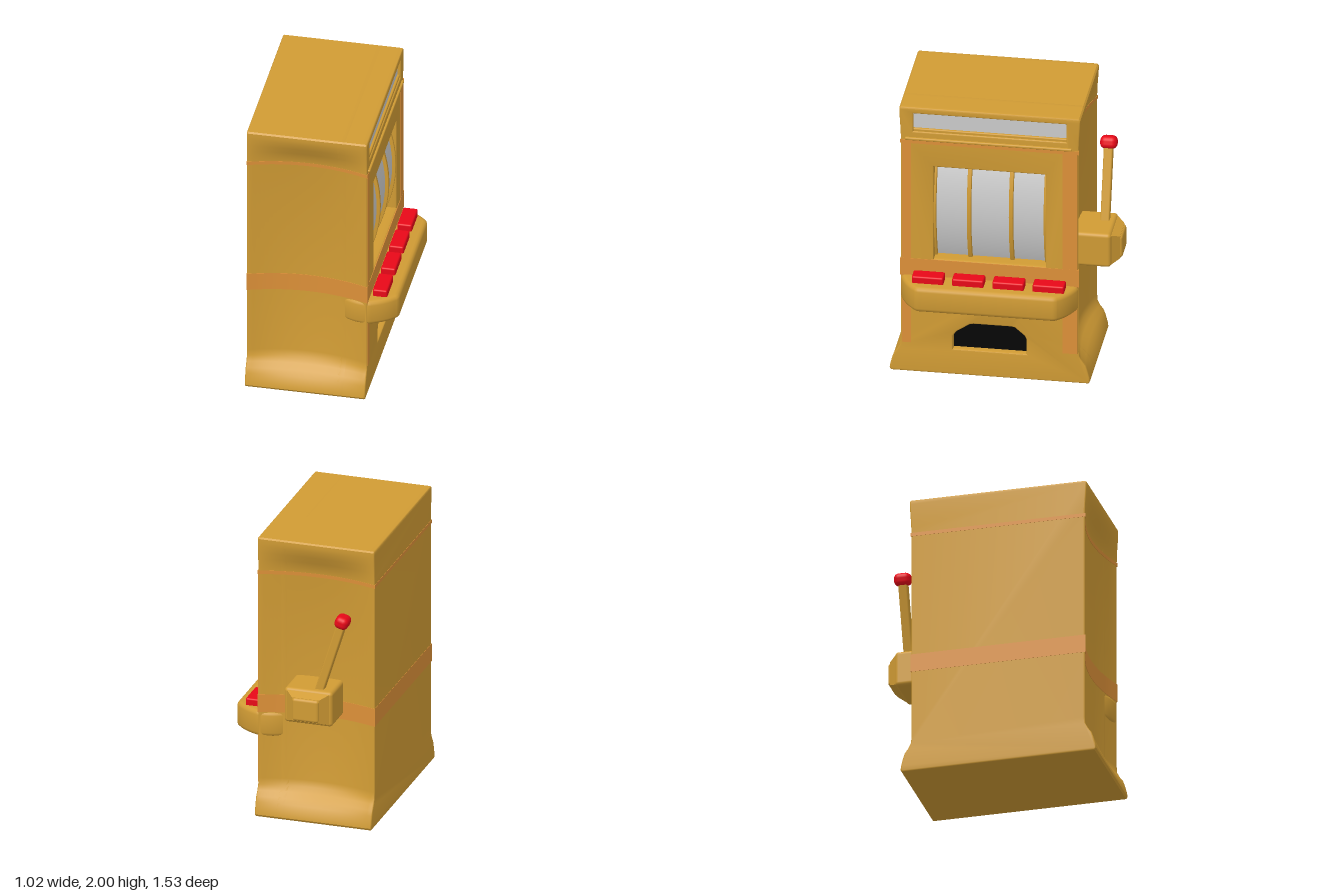
import * as THREE from 'three';
import { toCreasedNormals } from 'three/addons/utils/BufferGeometryUtils.js';
import { RoundedBoxGeometry } from 'three/addons/geometries/RoundedBoxGeometry.js';

const mat = (color, side = THREE.FrontSide) => new THREE.MeshStandardMaterial({ color, side });
const gold = mat(0xd09b34), copper = mat(0xdc9038), red = mat(0xe80818), black = mat(0x050505);
const grey = mat(0xcccccc, THREE.DoubleSide);

const MID = 0.085; // cabinet centre along z

// Hollows the cabinet's side walls between their corners, fading out at the top and the foot
function hollowSides(geometry) {
  const p = geometry.attributes.position;
  for (let i = 0; i < p.count; i++) {
    const w = p.getZ(i) - MID, y = p.getY(i);
    if (Math.abs(w) < 0.56) continue;
    const t = Math.min(1, Math.abs(p.getX(i) + 0.1) / 0.41);
    const fade = THREE.MathUtils.smoothstep(y, 0.03, 0.25) * (1 - THREE.MathUtils.smoothstep(y, 1.74, 1.97));
    p.setZ(i, p.getZ(i) - Math.sign(w) * 0.07 * (1 - t * t) * fade);
  }
  return toCreasedNormals(geometry, 0.7);
}

export function createModel() {
  const model = new THREE.Group();

  const add = (name, geometry, material, x = 0, y = 0, z = 0) => {
    const mesh = new THREE.Mesh(geometry, material);
    mesh.name = name;
    mesh.position.set(x, y, z);
    model.add(mesh);
    return mesh;
  };
  // box given by its limits, with optional rounded edges
  const box = (name, material, [x0, x1], [y0, y1], [z0, z1], r = 0) => {
    const s = [x1 - x0, y1 - y0, z1 - z0];
    const g = r ? new RoundedBoxGeometry(...s, 3, r) : new THREE.BoxGeometry(...s);
    return add(name, g, material, (x0 + x1) / 2, (y0 + y1) / 2, (z0 + z1) / 2);
  };
  const outline = (pts) => pts.map(([a, b]) => new THREE.Vector2(a, b));
  // bevelled extrusion of a shape from depth a to depth b
  const slab = (shape, a, b, bevel, steps = 1) => toCreasedNormals(new THREE.ExtrudeGeometry(shape, {
    depth: b - a - 2 * bevel, bevelThickness: bevel, bevelSize: bevel, bevelOffset: -bevel,
    bevelSegments: 3, curveSegments: 12, steps,
  }).translate(0, 0, a + bevel), 0.7);

  // Cabinet silhouette, drawn in (-z, y) and extruded along x
  const half = [[0.67, 0], [0.68, 0.015], [0.676, 0.045], [0.662, 0.1], [0.65, 0.135], [0.625, 0.17],
    [0.608, 0.205], [0.605, 0.25], [0.605, 1.74], [0.606, 1.79], [0.608, 1.84], [0.611, 1.89],
    [0.614, 1.94], [0.615, 1.97], [0.615, 1.99], [0.605, 2]];
  const silhouette = () => new THREE.Shape(outline([
    ...half.map(([w, y]) => [w - MID, y]),
    ...half.slice().reverse().map(([w, y]) => [-w - MID, y]),
  ]));
  const cabinetPart = (shape, x0, x1, steps) =>
    hollowSides(slab(shape, x0, x1, 0.01, steps).rotateY(Math.PI / 2));

  add('cabinetBack', cabinetPart(silhouette(), -0.512, 0.17, 24), gold);

  // Front with openings for sign, reels and payout chute
  const front = silhouette();
  const chute = [[-0.335, 0.19], [0.165, 0.19], [0.165, 0.3], [0.15, 0.33], [0.085, 0.385],
    [0.06, 0.39], [-0.195, 0.39], [-0.22, 0.385], [-0.31, 0.325], [-0.335, 0.29]];
  const rect = (a, b, c, d) => [[a, c], [b, c], [b, d], [a, d]];
  for (const hole of [rect(-0.605, 0.435, 1.82, 1.955), rect(-0.465, 0.295, 0.862, 1.562), chute])
    front.holes.push(new THREE.Path(outline(hole)));
  add('cabinetFront', cabinetPart(front, 0.1, 0.313, 8), gold);

  box('signPanel', grey, [0.26, 0.288], [1.8, 1.97], [-0.45, 0.62]);
  box('signSill', gold, [0.27, 0.304], [1.81, 1.84], [-0.44, 0.61], 0.008);
  box('chuteInterior', black, [0.16, 0.265], [0.17, 0.41], [-0.19, 0.36]);
  box('signLedge', gold, [0.29, 0.328], [1.758, 1.778], [-0.475, 0.66], 0.008);

  // Copper trim: bands around the cabinet and strips on the front corners
  for (const [y0, y1] of [[0.73, 0.858], [1.732, 1.757]]) {
    const band = new THREE.BoxGeometry(0.83, y1 - y0, 1.216, 28, 1, 1).translate(-0.099, (y0 + y1) / 2, MID);
    add('trimBand', hollowSides(band), copper);
  }
  for (const [z0, z1] of [[-0.51, -0.41], [0.62, 0.68]])
    box('cornerTrim', copper, [0.3, 0.3155], [0.22, 1.74], [z0, z1]);

  // Curved reels and the arched rims between them
  const R = 0.935, axisX = 0.285 - R, midY = 1.2125, span = 0.41;
  const reels = [[0.24, 0.465], [-0.045, 0.215], [-0.3, -0.07]];
  for (const [z0, z1] of reels) {
    const g = new THREE.CylinderGeometry(R, R, z1 - z0 + 0.02, 24, 1, true, Math.PI / 2 - span, span * 2);
    add('reel', g.rotateX(Math.PI / 2), grey, axisX, midY, (z0 + z1) / 2);
  }
  const arch = new THREE.Shape();
  arch.absarc(0, 0, R + 0.024, -span, span, false);
  arch.absarc(0, 0, R - 0.03, span, -span, true);
  for (const z of [0.464, 0.2275, -0.0575, -0.294])
    add('reelRim', slab(arch, -0.014, 0.014, 0.004), gold, axisX, midY, z);

  // Button shelf, drawn in plan as (x, -z), its ends running back into the hollow sides
  const plan = new THREE.Shape();
  plan.moveTo(0.14, -0.64);
  plan.quadraticCurveTo(0.22, -0.69, 0.32, -0.685);
  plan.quadraticCurveTo(0.43, -0.645, 0.49, -0.575);
  plan.quadraticCurveTo(0.506, -0.56, 0.506, -0.53);
  plan.lineTo(0.506, 0.36);
  plan.quadraticCurveTo(0.506, 0.39, 0.49, 0.405);
  plan.quadraticCurveTo(0.43, 0.475, 0.32, 0.515);
  plan.quadraticCurveTo(0.22, 0.52, 0.14, 0.47);
  add('buttonShelf', slab(plan, 0.55, 0.733, 0.03).rotateX(-Math.PI / 2), gold);

  for (let i = 0; i < 4; i++) {
    const z = -0.33 + i * 0.2735;
    box('button', red, [0.33, 0.43], [0.7, 0.782], [z - 0.107, z + 0.107], 0.012);
  }

  // Lever housing: rounded box, tapered shoulder and nose
  box('leverHousing', gold, [-0.27, 0.07], [0.76, 1.01], [-0.7, -0.4], 0.025);
  const shoulder = new THREE.BoxGeometry(0.31, 0.225, 0.06);
  const p = shoulder.attributes.position;
  for (let i = 0; i < p.count; i++)
    if (p.getZ(i) < 0) p.setXY(i, p.getX(i) * 0.62, p.getY(i) * 0.74);
  shoulder.computeVertexNormals();
  add('leverShoulder', shoulder, gold, -0.1, 0.885, -0.722);
  box('leverNose', gold, [-0.195, -0.005], [0.803, 0.967], [-0.767, -0.68], 0.02);

  // Lever leaning backwards, with its knob
  const foot = new THREE.Vector3(-0.15, 0.96, -0.627), tip = new THREE.Vector3(-0.322, 1.51, -0.627);
  const lean = Math.atan2(foot.x - tip.x, tip.y - foot.y);
  const stick = add('leverStick', new RoundedBoxGeometry(0.06, foot.distanceTo(tip), 0.062, 2, 0.01), gold);
  stick.position.copy(foot).lerp(tip, 0.5);
  stick.rotation.z = lean;
  const knob = add('leverKnob', new RoundedBoxGeometry(0.095, 0.088, 0.116, 3, 0.035), red, tip.x, tip.y, tip.z);
  knob.rotation.z = lean;

  return model;
}
